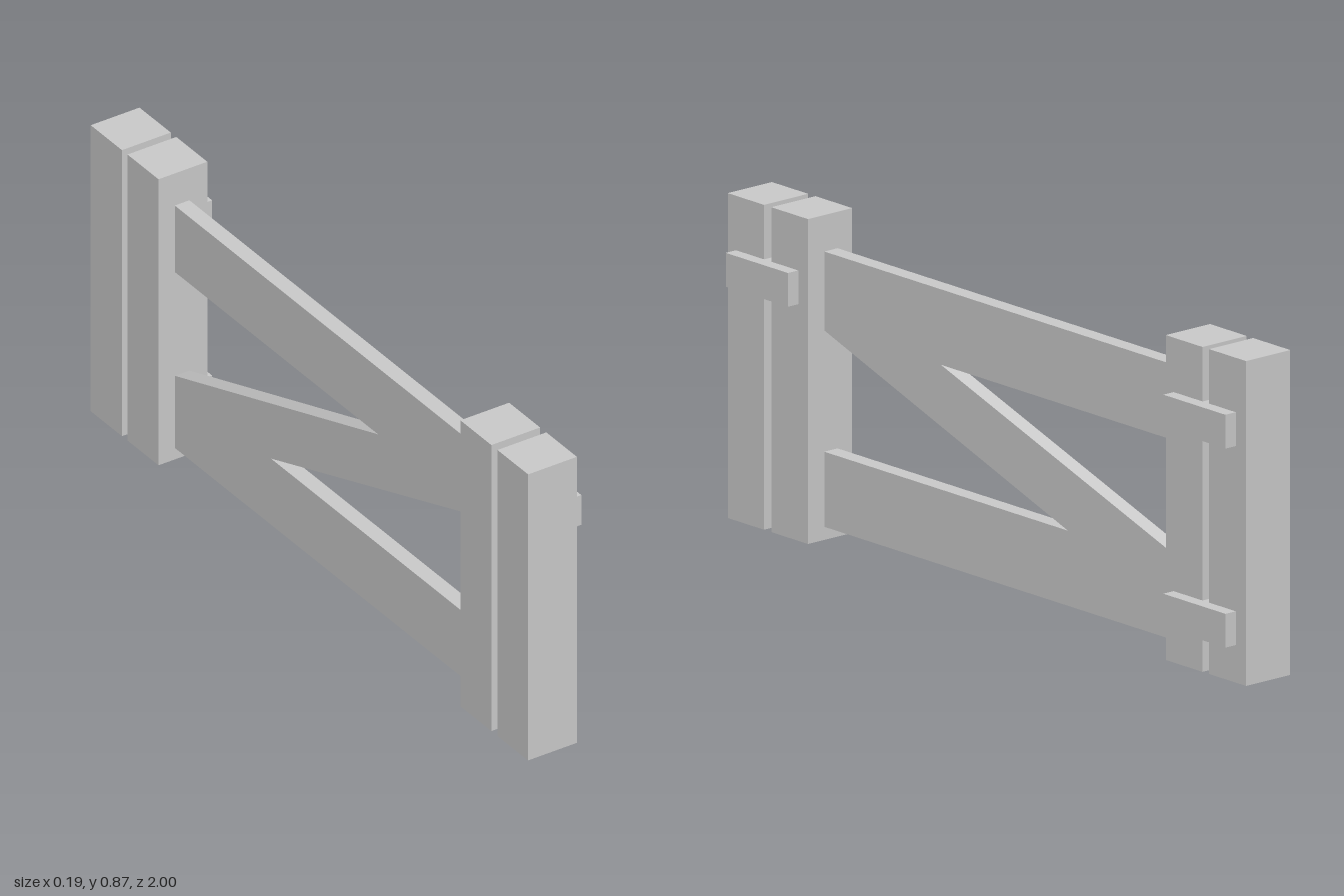
import * as THREE from 'three';

const material = new THREE.MeshStandardMaterial({ color: 0xcccccc, flatShading: true });

// Box given by its [min, max] range on each axis
function box(name, [x0, x1], [y0, y1], [z0, z1]) {
  const mesh = new THREE.Mesh(new THREE.BoxGeometry(x1 - x0, y1 - y0, z1 - z0), material);
  mesh.position.set((x0 + x1) / 2, (y0 + y1) / 2, (z0 + z1) / 2);
  mesh.name = name;
  return mesh;
}

export function createModel() {
  const group = new THREE.Group();
  group.name = 'gate';

  // Fixed outer posts and the gate's own end posts
  const postX = [-0.095, 0.055];
  const postY = [0, 0.865];
  group.add(
    box('frontOuterPost', postX, postY, [0.86, 1]),
    box('frontGatePost', postX, postY, [0.69, 0.832]),
    box('backGatePost', postX, postY, [-0.832, -0.69]),
    box('backOuterPost', postX, postY, [-1, -0.857])
  );

  // Horizontal rails
  const boardX = [-0.045, 0];
  group.add(
    box('topRail', boardX, [0.567, 0.768], [-0.7, 0.7]),
    box('bottomRail', boardX, [0.035, 0.235], [-0.7, 0.7])
  );

  // Diagonal brace, cut flush between the rails (z, y outline)
  const outline = [
    [0.69, 0.567], [0.69, 0.558], [-0.25, 0.235],
    [-0.69, 0.235], [-0.69, 0.253], [0.24, 0.567]
  ].map(([z, y]) => new THREE.Vector2(z, y));
  const braceGeometry = new THREE.ExtrudeGeometry(new THREE.Shape(outline), {
    depth: 0.045, bevelEnabled: false
  });
  braceGeometry.rotateY(-Math.PI / 2);
  const brace = new THREE.Mesh(braceGeometry, material);
  brace.name = 'diagonalBrace';
  group.add(brace);

  // Latch on one end, two hinges on the other, bridging the gaps
  const plateX = [0.03, 0.09];
  group.add(
    box('latch', plateX, [0.63, 0.72], [0.728, 0.968]),
    box('upperHinge', plateX, [0.63, 0.72], [-0.96, -0.72]),
    box('lowerHinge', plateX, [0.1, 0.19], [-0.96, -0.72])
  );

  return group;
}
